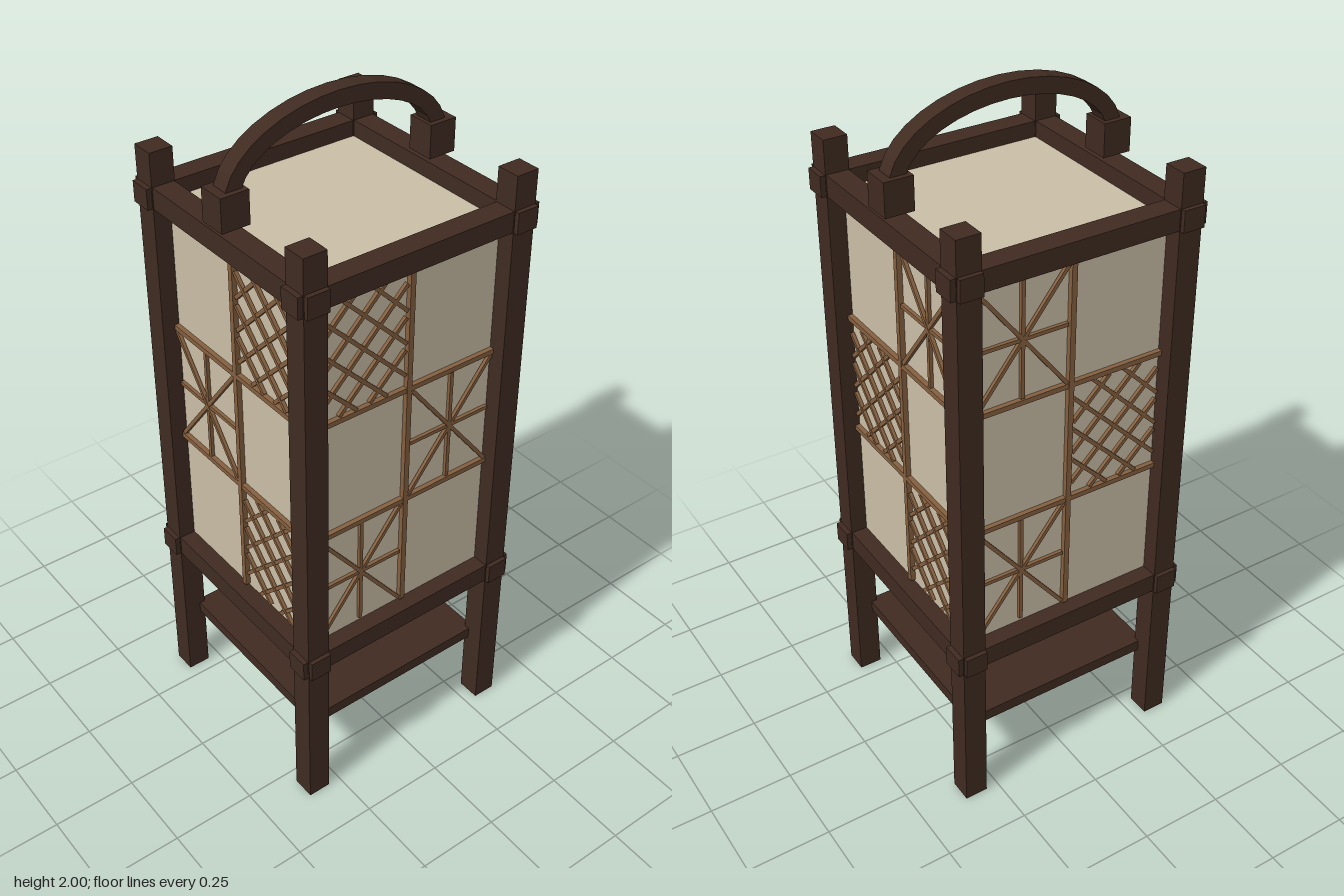
import * as THREE from 'three';

const mat = (name, color, side = THREE.FrontSide) => {
  const m = new THREE.MeshStandardMaterial({ color, side });
  m.name = name;
  return m;
};

export function createModel() {
  const darkWood = mat('dark wood', 0x402b21);
  const lightWood = mat('light wood', 0x85603f);
  const paper = mat('paper', 0xcabea6, THREE.DoubleSide);

  const root = new THREE.Group();
  root.name = 'floorLantern';

  const box = (parent, name, material, size, pos, turn = 0) => {
    const mesh = new THREE.Mesh(new THREE.BoxGeometry(...size), material);
    mesh.name = name;
    mesh.position.set(...pos);
    mesh.rotation.z = turn;
    parent.add(mesh);
    return mesh;
  };

  // Corner posts
  const C = 0.3225;
  for (const x of [-C, C]) for (const z of [-C, C])
    box(root, 'cornerPost', darkWood, [0.069, 1.815, 0.069], [x, 0.9075, z]);

  // Rails running past the posts, lower and upper
  for (const y of [0.52, 1.688]) for (const s of [-C, C]) {
    box(root, 'crossRail', darkWood, [0.744, 0.06, 0.065], [0, y, s]);
    box(root, 'sideRail', darkWood, [0.065, 0.062, 0.74], [s, y, 0]);
  }

  // Low shelf and paper lid
  box(root, 'shelf', darkWood, [0.61, 0.035, 0.61], [0, 0.237, 0]);
  box(root, 'paperLid', paper, [0.6, 0.008, 0.6], [0, 1.668, 0]);

  // Lattice cells, drawn in the plane of a wall
  const W = 0.135, H = 0.172, T = 0.011, LZ = 0.312;
  const slat = (parent, cx, cy, a, b, z) => {
    const dx = b[0] - a[0], dy = b[1] - a[1];
    box(parent, 'latticeSlat', lightWood, [Math.hypot(dx, dy), T, 0.01],
      [cx + (a[0] + b[0]) / 2, cy + (a[1] + b[1]) / 2, z], Math.atan2(dy, dx));
  };
  const star = (parent, cx, cy) => {
    slat(parent, cx, cy, [-W, 0], [W, 0], LZ);
    slat(parent, cx, cy, [0, -H], [0, H], LZ + 0.001);
    slat(parent, cx, cy, [-W, -H], [W, H], LZ + 0.002);
    slat(parent, cx, cy, [-W, H], [W, -H], LZ + 0.003);
  };
  const diamonds = (parent, cx, cy) => {
    for (let k = -2; k <= 2; k++) {
      const c = k * 0.097;
      // the line y = x + c, cut off at the edges of the cell
      const x0 = Math.max(-W, -H - c), x1 = Math.min(W, H - c);
      slat(parent, cx, cy, [x0, x0 + c], [x1, x1 + c], LZ);
      slat(parent, cx, cy, [-x0, x0 + c], [-x1, x1 + c], LZ + 0.002);
    }
  };

  // Four walls: side of the top cell, then patterns from top to bottom
  const walls = [
    ['frontWall', 0, -1, [diamonds, star, star]],
    ['leftWall', Math.PI / 2, 1, [star, diamonds, diamonds]],
    ['backWall', Math.PI, -1, [star, diamonds, star]],
    ['rightWall', -Math.PI / 2, 1, [diamonds, star, diamonds]],
  ];
  const rows = [1.468, 1.104, 0.74];
  for (const [name, angle, first, patterns] of walls) {
    const wall = new THREE.Group();
    wall.name = name;
    wall.rotation.y = angle;
    root.add(wall);
    box(wall, 'paperPanel', paper, [0.6, 1.13, 0.006], [0, 1.104, 0.303]);
    box(wall, 'mullion', lightWood, [0.016, 1.09, 0.026], [0, 1.104, 0.308]);
    for (const y of [0.922, 1.286])
      box(wall, 'crossBar', lightWood, [0.58, 0.015, 0.024], [0, y, 0.308]);
    patterns.forEach((draw, i) => {
      const side = i % 2 ? -first : first;
      draw(wall, side * 0.147, rows[i]);
    });
  }

  // Arched handle, a faceted half ellipse
  const outline = new THREE.Shape();
  const N = 18, pts = [];
  for (let i = 0; i <= N; i++) {
    const a = (i / N) * Math.PI;
    pts.push(new THREE.Vector2(0.343 * Math.cos(a), 0.2 * Math.sin(a)));
  }
  for (let i = N; i >= 0; i--) {
    const a = (i / N) * Math.PI;
    pts.push(new THREE.Vector2(0.298 * Math.cos(a), 0.155 * Math.sin(a)));
  }
  outline.setFromPoints(pts);
  const arch = new THREE.ExtrudeGeometry(outline, { depth: 0.052, bevelEnabled: false });
  arch.translate(0, 1.8, -0.026);
  const handle = new THREE.Mesh(arch, darkWood);
  handle.name = 'handleArch';
  root.add(handle);

  // Blocks holding the handle ends
  for (const s of [-1, 1])
    box(root, 'handleBlock', darkWood, [0.083, 0.095, 0.082], [s * 0.3225, 1.783, 0]);

  return root;
}
